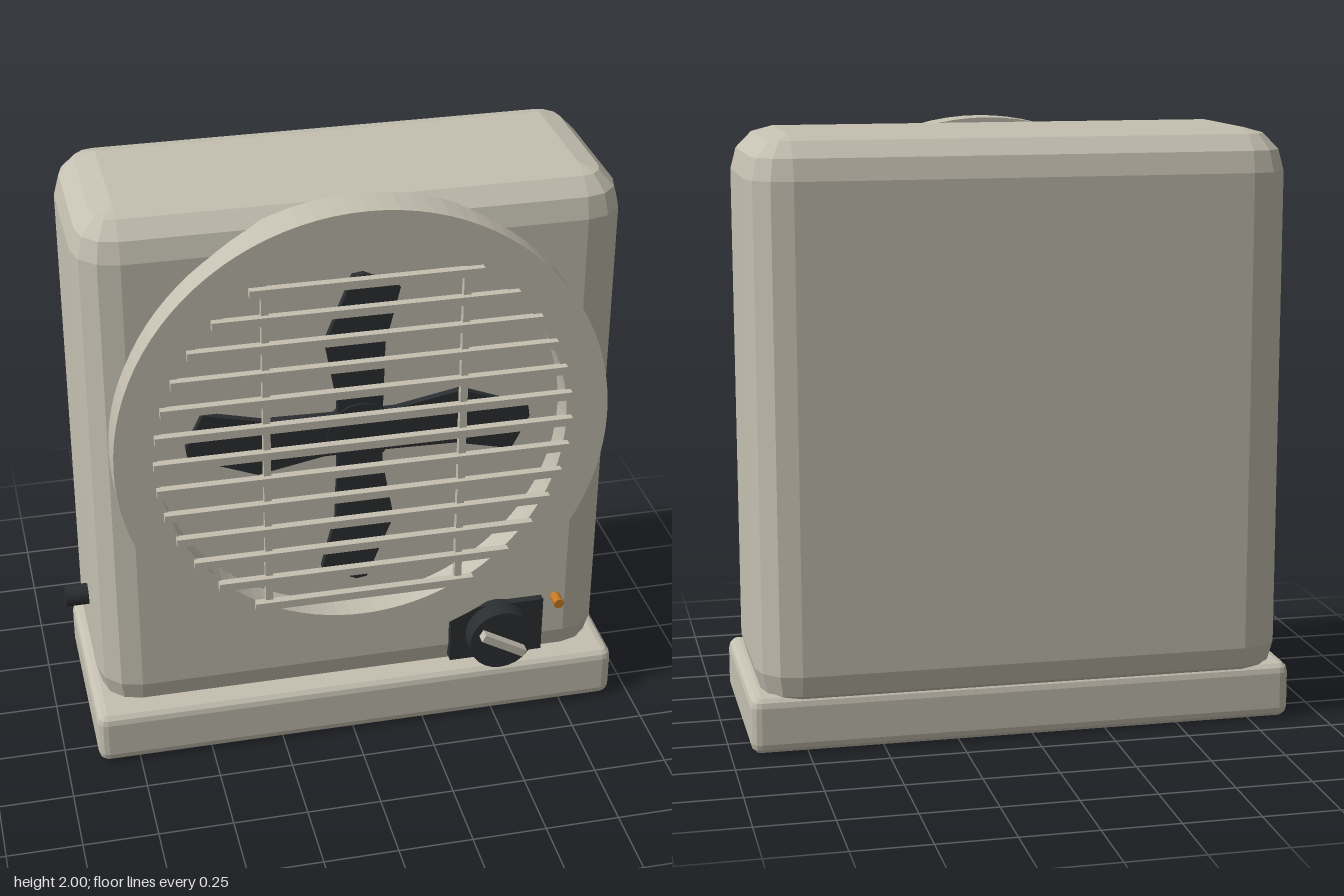
import * as THREE from 'three';
import { ConvexGeometry } from 'three/addons/geometries/ConvexGeometry.js';

const shell = new THREE.MeshStandardMaterial({ color: 0xc4bfb0 });
const dark = new THREE.MeshStandardMaterial({ color: 0x2b2e31 });
const amber = new THREE.MeshStandardMaterial({ color: 0xc47a24 });

// Box between two corners with faceted, three-step rounded edges
function bevelBox(min, max, r) {
  const points = [];
  for (const sx of [-1, 1]) for (const sy of [-1, 1]) for (const sz of [-1, 1]) {
    for (let i = 0; i <= 3; i++) for (let j = 0; j <= (i === 3 ? 0 : 3); j++) {
      const lat = i * Math.PI / 6, lon = j * Math.PI / 6;
      const dir = [Math.cos(lat) * Math.cos(lon) * sx, Math.sin(lat) * sy, Math.cos(lat) * Math.sin(lon) * sz];
      const p = [sx, sy, sz].map((s, k) => (s > 0 ? max[k] - r : min[k] + r) + dir[k] * r);
      points.push(new THREE.Vector3(...p));
    }
  }
  return new ConvexGeometry(points);
}

export function createModel() {
  const model = new THREE.Group();
  const add = (name, geometry, material, x = 0, y = 0, z = 0, parent = model) => {
    const mesh = new THREE.Mesh(geometry, material);
    mesh.name = name;
    mesh.position.set(x, y, z);
    parent.add(mesh);
    return mesh;
  };
  const group = (name, x, y, z) => {
    const g = new THREE.Group();
    g.name = name;
    g.position.set(x, y, z);
    model.add(g);
    return g;
  };

  // Housing and foot
  add('base', bevelBox([-0.89, 0, -0.39], [0.935, 0.192, 0.355], 0.035), shell);
  add('housing', bevelBox([-0.862, 0.12, -0.41], [0.908, 1.99, 0.283], 0.14), shell);

  // Front ring, partly sunk into the housing
  const cx = 0.025, cy = 1.185;
  const ringShape = new THREE.Shape().absarc(0, 0, 0.815, 0, Math.PI * 2);
  ringShape.holes.push(new THREE.Path().absarc(0, 0, 0.675, 0, Math.PI * 2, true));
  add('ring', new THREE.ExtrudeGeometry(ringShape, { depth: 0.135, bevelEnabled: false, curveSegments: 48 }),
    shell, cx, cy, 0.245);

  // Four fan blades and hub
  const fan = group('fan', cx - 0.003, cy, 0.295);
  const outline = [[-0.075, 0], [0.075, 0], [0.075, 0.11], [0.08, 0.32], [0.127, 0.513],
    [0.01, 0.571], [-0.026, 0.566], [-0.116, 0.34], [-0.075, 0.12]];
  const bladeShape = new THREE.Shape(outline.map(([x, y]) => new THREE.Vector2(x, y)));
  const bladeGeometry = new THREE.ExtrudeGeometry(bladeShape, { depth: 0.025, bevelEnabled: false });
  for (let i = 0; i < 4; i++) {
    add('blade', bladeGeometry, dark, 0, 0, 0, fan).rotation.z = i * Math.PI / 2;
  }
  add('hub', new THREE.CylinderGeometry(0.11, 0.11, 0.04, 16), dark, 0, 0, 0.012, fan).rotation.x = Math.PI / 2;

  // Grille: horizontal bars trimmed to a circle, on two uprights
  const grille = group('grille', cx, cy, 0.39);
  for (let i = -6; i <= 6; i++) {
    const y = i * 0.0968;
    const half = Math.sqrt(0.69 ** 2 - y ** 2);
    add('grilleBar', new THREE.BoxGeometry(half * 2, 0.028, 0.028), shell, 0, y, 0, grille);
  }
  for (const side of [-1, 1]) {
    add('grilleUpright', new THREE.BoxGeometry(0.024, 1.17, 0.024), shell, side * 0.323, 0, -0.016, grille);
  }

  // Control panel with dial and pointer
  const panel = group('controlPanel', 0.517, 0.315, 0.28);
  add('plate', new THREE.BoxGeometry(0.33, 0.21, 0.06), dark, 0, 0, 0, panel);
  add('dial', new THREE.CylinderGeometry(0.113, 0.113, 0.09, 24), dark, 0, 0, 0.05, panel).rotation.x = Math.PI / 2;
  add('pointer', new THREE.BoxGeometry(0.172, 0.028, 0.04), shell, 0, 0, 0.11, panel).rotation.z = -Math.PI / 6;

  // Indicator lamp
  add('lamp', new THREE.CylinderGeometry(0.018, 0.018, 0.08, 12), amber, 0.732, 0.408, 0.295).rotation.x = Math.PI / 2;

  // Cable socket on the right side
  add('cableSocket', new THREE.CylinderGeometry(0.037, 0.037, 0.14, 16), dark, -0.87, 0.46, -0.01).rotation.z = Math.PI / 2;

  return model;
}
